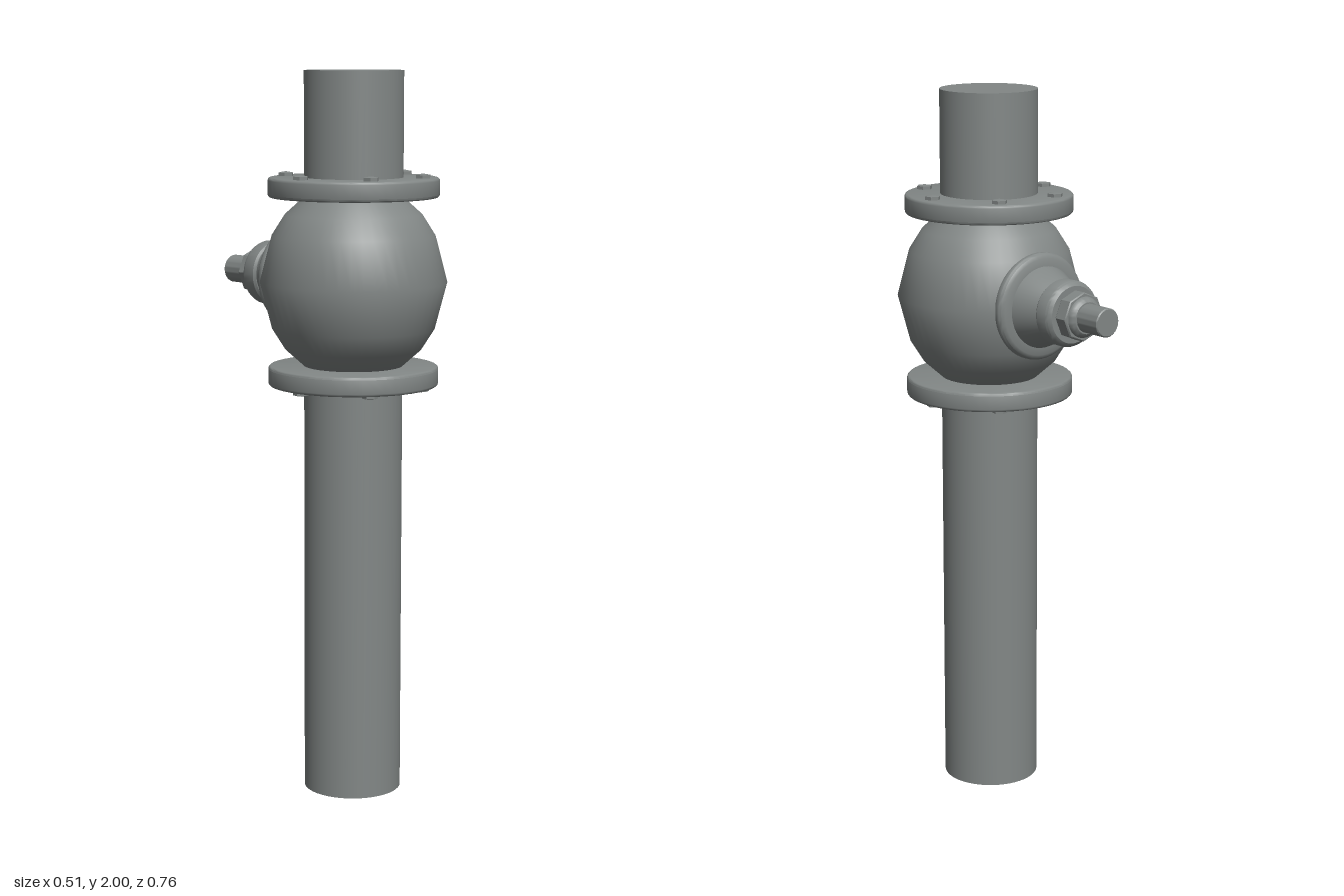
import * as THREE from 'three';
import { toCreasedNormals } from 'three/addons/utils/BufferGeometryUtils.js';

const AXIS_Z = 0.122;  // pipe axis
const BODY_Y = 1.43;   // valve centre height

export function createModel() {
  const model = new THREE.Group();
  model.name = 'valvePipe';
  const material = new THREE.MeshStandardMaterial({ color: 0x828786 });

  const add = (parent, name, geometry, x = 0, y = 0, z = 0) => {
    const mesh = new THREE.Mesh(geometry, material);
    mesh.name = name;
    mesh.position.set(x, y, z);
    parent.add(mesh);
    return mesh;
  };
  // Turned part: profile of [radius, height] from bottom to top
  const turned = (profile, segments = 48) => toCreasedNormals(
    new THREE.LatheGeometry(profile.map(([r, y]) => new THREE.Vector2(r, y)), segments), 0.6);
  // Disc with rounded rims, from y0 to y1
  const roundedDisc = (r, y0, y1, b) => {
    const profile = [[0, y0]];
    for (let i = 0; i <= 3; i++) {
      const a = (i / 3) * Math.PI / 2;
      profile.push([r - b + b * Math.sin(a), y0 + b - b * Math.cos(a)]);
    }
    for (let i = 0; i <= 3; i++) {
      const a = (i / 3) * Math.PI / 2;
      profile.push([r - b + b * Math.cos(a), y1 - b + b * Math.sin(a)]);
    }
    profile.push([0, y1]);
    return turned(profile);
  };

  // Main upright: pipes and bulging body with a slight ridge at its middle
  const column = new THREE.Group();
  column.name = 'column';
  column.position.z = AXIS_Z;
  model.add(column);
  add(column, 'lowerPipe', new THREE.CylinderGeometry(0.135, 0.135, 1.2, 48), 0, 0.6, 0);
  add(column, 'upperPipe', new THREE.CylinderGeometry(0.135, 0.135, 0.36, 48), 0, 1.82, 0);
  add(column, 'valveBody', turned([
    [0.13, -0.235], [0.187, -0.184], [0.223, -0.127], [0.256, 0],
    [0.223, 0.127], [0.187, 0.184], [0.13, 0.235],
  ]), 0, BODY_Y, 0);

  // Bolted flanges, bolt heads on the outward faces
  for (const side of [1, -1]) {
    const flange = new THREE.Group();
    flange.name = side > 0 ? 'upperFlange' : 'lowerFlange';
    flange.position.y = BODY_Y + side * 0.23;
    if (side < 0) flange.rotation.x = Math.PI;
    column.add(flange);
    add(flange, 'flangeDisc', roundedDisc(0.2335, 0, 0.054, 0.008));
    for (let i = 0; i < 6; i++) {
      const a = (i / 6) * Math.PI * 2;
      const head = turned([[0, 0], [0.0215, 0], [0.0215, 0.01], [0, 0.014]], 6);
      const bolt = add(flange, 'bolt', head, 0.194 * Math.cos(a), 0.053, 0.194 * Math.sin(a));
      bolt.rotation.y = 0.2;
    }
  }

  // Bonnet and stem, built upright and laid towards the back
  const bonnet = new THREE.Group();
  bonnet.name = 'bonnet';
  bonnet.position.y = BODY_Y;
  bonnet.rotation.x = -Math.PI / 2;
  model.add(bonnet);
  add(bonnet, 'bonnetFlange', turned([
    [0, 0.08], [0.135, 0.081], [0.143, 0.084], [0.147, 0.092],
    [0.147, 0.103], [0.143, 0.11], [0.133, 0.115], [0.11, 0.118], [0, 0.118],
  ]));
  add(bonnet, 'bonnetCone', turned([[0, 0.1], [0.116, 0.1], [0.112, 0.118], [0.081, 0.19], [0, 0.19]]));
  add(bonnet, 'bonnetCollar', turned([
    [0, 0.187], [0.085, 0.187], [0.09, 0.194], [0.09, 0.23],
    [0.087, 0.237], [0.078, 0.244], [0, 0.245],
  ]));
  add(bonnet, 'packingNut', turned([
    [0, 0.243], [0.064, 0.243], [0.067, 0.247], [0.067, 0.282], [0.064, 0.285], [0, 0.285],
  ], 8));
  add(bonnet, 'glandRing', turned([
    [0, 0.283], [0.056, 0.283], [0.055, 0.288], [0.05, 0.296], [0.043, 0.301], [0, 0.301],
  ]));
  add(bonnet, 'stem', turned([
    [0, 0.29], [0.039, 0.29], [0.039, 0.377], [0.036, 0.38], [0, 0.38],
  ]));

  return model;
}
